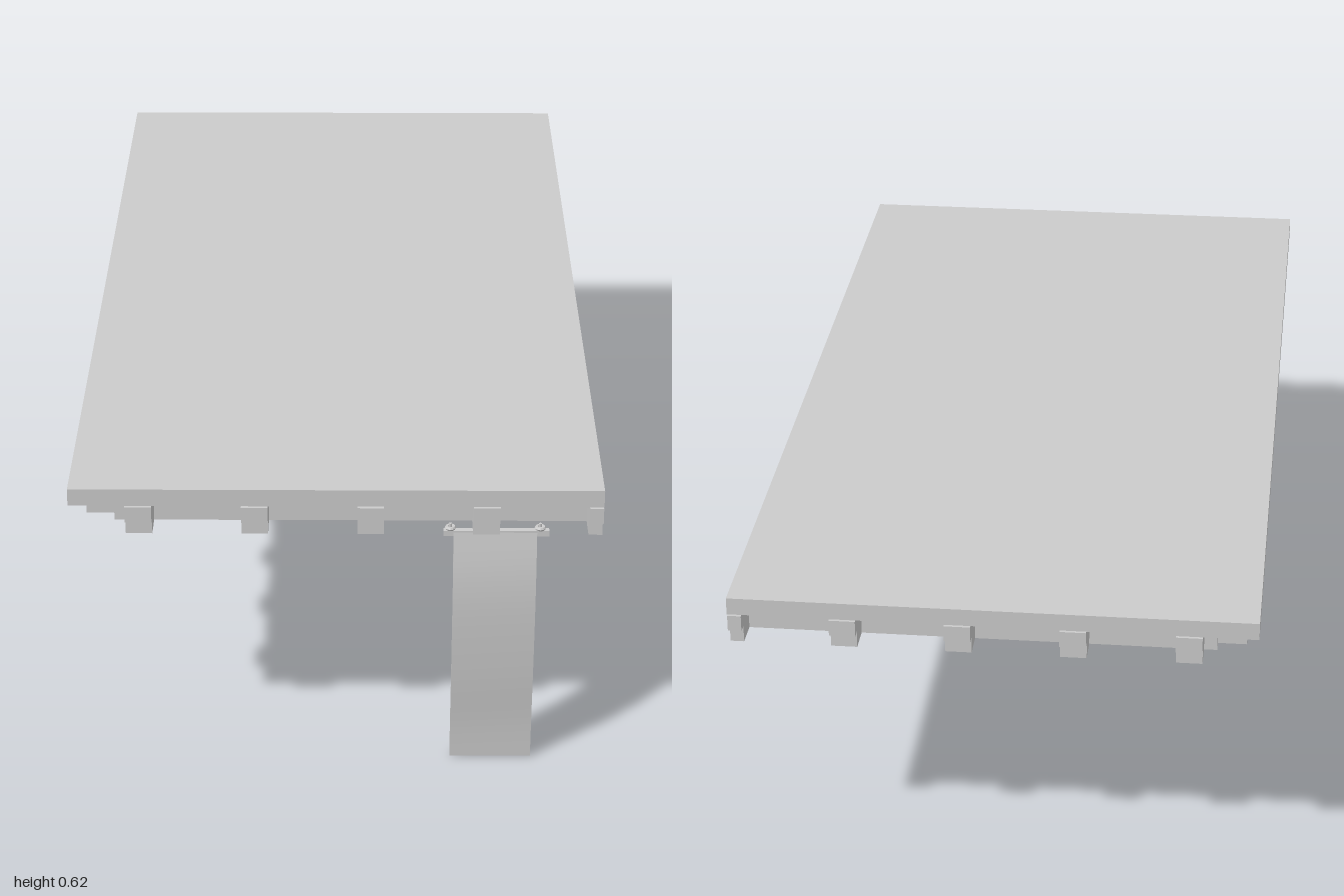
import * as THREE from 'three';

const grey = new THREE.MeshStandardMaterial({ color: 0xcccccc, flatShading: true });
const cloth = new THREE.MeshStandardMaterial({ color: 0xcccccc, side: THREE.DoubleSide });

function add(parent, name, geometry, x = 0, y = 0, z = 0, material = grey) {
  const mesh = new THREE.Mesh(geometry, material);
  mesh.name = name;
  mesh.position.set(x, y, z);
  parent.add(mesh);
  return mesh;
}

// Stepped bracket: profile runs outward along +z, width is centred on x
function bracketGeometry(width) {
  const points = [[0, 0.517], [0.055, 0.517], [0.055, 0.55], [0.075, 0.55], [0.075, 0.582], [0, 0.582]];
  const shape = new THREE.Shape(points.map(([out, y]) => new THREE.Vector2(out, y)));
  const g = new THREE.ExtrudeGeometry(shape, { depth: width, bevelEnabled: false });
  g.translate(0, 0, -width / 2);
  g.rotateY(-Math.PI / 2);
  return g;
}

export function createModel() {
  const model = new THREE.Group();
  model.name = 'balcony roof';

  // Top slab and the recessed body below it, flush on the +x side
  add(model, 'slab', new THREE.BoxGeometry(1, 0.034, 2), 0, 0.604, 0);
  add(model, 'body', new THREE.BoxGeometry(0.92, 0.07, 1.844), 0.04, 0.552, 0);

  // Brackets along the front, back and -x side
  const brackets = new THREE.Group();
  brackets.name = 'brackets';
  model.add(brackets);
  const step = 0.2175;
  const full = bracketGeometry(0.05);
  const half = bracketGeometry(0.026);
  for (let i = 0; i < 5; i++) {
    const x = i < 4 ? -0.37 + i * step : 0.487;
    for (const side of [1, -1]) {
      const b = add(brackets, side > 0 ? 'frontBracket' : 'backBracket', i < 4 ? full : half, x, 0, side * 0.922);
      b.rotation.y = side > 0 ? 0 : Math.PI;
    }
  }
  for (let i = 0; i < 9; i++) {
    const b = add(brackets, 'sideBracket', full, -0.42, 0, -0.87 + i * step);
    b.rotation.y = -Math.PI / 2;
  }

  // Hanging banner with its rod and two rings
  const banner = new THREE.Group();
  banner.name = 'banner';
  model.add(banner);
  const sway = new THREE.SplineCurve([
    [0.928, 0], [0.933, 0.08], [0.946, 0.2], [0.954, 0.33], [0.952, 0.42], [0.941, 0.503],
  ].map(([z, y]) => new THREE.Vector2(z, y)));
  const sheet = new THREE.BoxGeometry(0.158, 0.503, 0.006, 1, 20, 1);
  const pos = sheet.attributes.position;
  for (let i = 0; i < pos.count; i++) {
    const p = sway.getPoint(THREE.MathUtils.clamp(pos.getY(i) / 0.503 + 0.5, 0, 1));
    pos.setXYZ(i, pos.getX(i) + 0.301, p.y, p.x + pos.getZ(i));
  }
  sheet.computeVertexNormals();
  add(banner, 'cloth', sheet, 0, 0, 0, cloth);
  add(banner, 'rod', new THREE.BoxGeometry(0.2, 0.011, 0.012), 0.303, 0.501, 0.938);
  for (const x of [0.216, 0.386]) {
    const ring = add(banner, 'ring', new THREE.TorusGeometry(0.007, 0.004, 6, 12), x, 0.511, 0.938);
    ring.rotation.x = Math.PI / 2;
    add(banner, 'ringPin', new THREE.CylinderGeometry(0.003, 0.003, 0.02, 6), x, 0.51, 0.938);
  }
  return model;
}
